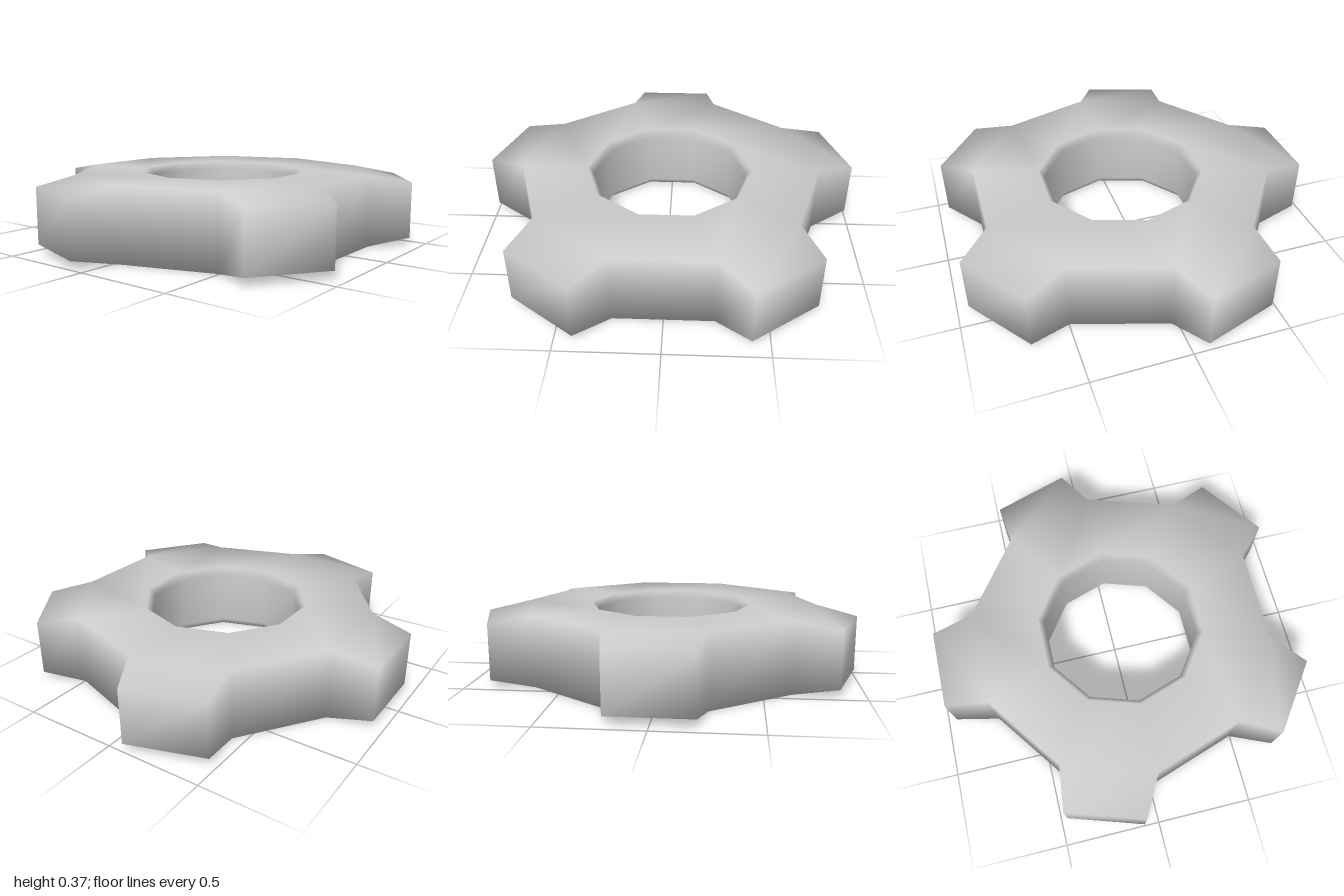
import * as THREE from 'three';

const SIDES = 10;        // ring is a decagon; every second side carries a tooth
const CENTRE_Z = 0.03;

// Ring cross-section [radius, y]: outer wall, top, bevelled bore, bottom
const RING = [[0.794, 0], [0.794, 0.37], [0.44, 0.37], [0.41, 0.33], [0.41, 0.04], [0.44, 0]];

export function createModel() {
  const positions = [], index = [];
  const addVertex = (x, y, z) => positions.push(x, y, z) / 3 - 1;
  const quad = (a, b, c, d) => index.push(a, b, c, a, c, d);
  // Angles run from the back (-z) towards +x
  const polar = (r, y, angle) => addVertex(r * Math.sin(angle), y, CENTRE_Z - r * Math.cos(angle));

  // Ring vertices, one cross-section per corner
  const sections = [];
  for (let i = 0; i < SIDES; i++) {
    const angle = (i - 0.5) * Math.PI * 2 / SIDES;
    sections.push(RING.map(([r, y]) => polar(r, y, angle)));
  }

  const tipRadius = Math.hypot(0.205, 0.98), tipAngle = Math.atan2(0.205, 0.98);
  for (let i = 0; i < SIDES; i++) {
    const a = sections[i], b = sections[(i + 1) % SIDES];
    const hasTooth = i % 2 === 0;

    // Ring faces, leaving the outer wall open where a tooth joins
    for (let p = hasTooth ? 1 : 0; p < RING.length; p++) {
      const q = (p + 1) % RING.length;
      quad(b[p], a[p], a[q], b[q]);
    }

    // Tapered tooth: loop from lower base over the tip to upper base
    if (hasTooth) {
      const mid = i * Math.PI * 2 / SIDES;
      const side = (s, base) => [base[0], polar(tipRadius, 0.04, mid + s * tipAngle),
        polar(tipRadius, 0.33, mid + s * tipAngle), base[1]];
      const left = side(-1, a), right = side(1, b);
      for (let k = 0; k < 3; k++) quad(right[k], left[k], left[k + 1], right[k + 1]);
      quad(...right);
      quad(...left.reverse());
    }
  }

  const geometry = new THREE.BufferGeometry();
  geometry.setAttribute('position', new THREE.Float32BufferAttribute(positions, 3));
  geometry.setIndex(index);
  geometry.computeVertexNormals(); // shared vertices give the soft shading

  const gear = new THREE.Mesh(geometry, new THREE.MeshStandardMaterial({ color: 0xcccccc }));
  gear.name = 'gearWheel';
  const group = new THREE.Group();
  group.name = 'gear';
  group.add(gear);
  return group;
}
